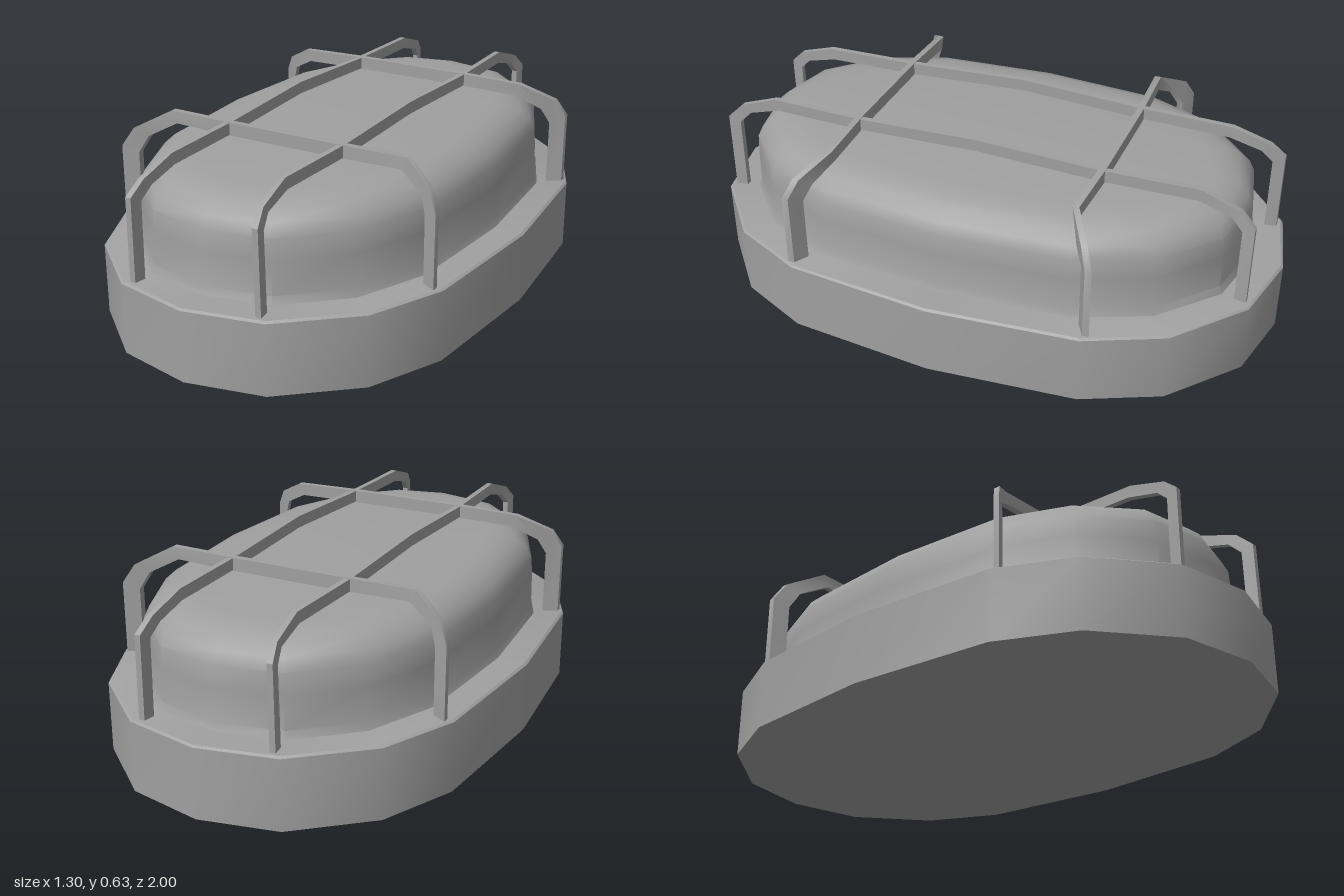
import * as THREE from 'three';
import { toCreasedNormals } from 'three/addons/utils/BufferGeometryUtils.js';

// Skin a stack of closed rings of [x, y, z] points and cap both ends.
function loft(rings, crease) {
  const n = rings[0].length;
  const last = rings.length - 1;
  const points = rings.flat();
  const index = [];
  for (let i = 0; i < last; i++) {
    for (let j = 0; j < n; j++) {
      const a = i * n + j, b = i * n + (j + 1) % n;
      index.push(a, b, b + n, a, b + n, a + n);
    }
  }
  const middle = (ring) => [0, 1, 2].map((k) => ring.reduce((s, p) => s + p[k], 0) / n);
  const bottom = points.push(middle(rings[0])) - 1;
  const top = points.push(middle(rings[last])) - 1;
  for (let j = 0; j < n; j++) {
    const k = (j + 1) % n;
    index.push(bottom, k, j, top, last * n + j, last * n + k);
  }
  const geometry = new THREE.BufferGeometry();
  geometry.setAttribute('position', new THREE.Float32BufferAttribute(points.flat(), 3));
  geometry.setIndex(index);
  return toCreasedNormals(geometry, crease);
}

// Sixteen-sided oval from one quarter, running front, left, back, right.
function oval(quarter, inset, y) {
  const sx = 1 - inset / quarter[4][0];
  const sz = 1 - inset / quarter[0][1];
  const half = [...quarter, ...quarter.slice(0, 4).reverse().map(([x, z]) => [x, -z])];
  const full = [...half, ...half.slice(1, -1).reverse().map(([x, z]) => [-x, z])];
  return full.map(([x, z]) => [x * sx, y, z * sz]);
}

// Guard bar running along z. Each row: outer edge then inner edge as
// [along, height, sideways], from the foot to the middle; the rest is mirrored.
function guardBar(rows, side, halfWidth) {
  const mirrored = rows.slice(0, -1).reverse()
    .map((row) => row.map(([a, y, s]) => [-a, y, s]));
  const rings = [...rows, ...mirrored].map(([o, i]) => [
    [o[2] * side - halfWidth, o[1], o[0]],
    [o[2] * side + halfWidth, o[1], o[0]],
    [i[2] * side + halfWidth, i[1], i[0]],
    [i[2] * side - halfWidth, i[1], i[0]],
  ]);
  return loft(rings, 0.6);
}

const BASE = [[0, 1], [0.26, 0.945], [0.49, 0.75], [0.605, 0.5], [0.65, 0]];
const DOME = [[0, 0.895], [0.22, 0.85], [0.41, 0.68], [0.515, 0.44], [0.55, 0]];

const LONG_BAR = [
  [[0.93, 0.23, 0.228], [0.89, 0.23, 0.222]],
  [[0.93, 0.52, 0.225], [0.89, 0.5, 0.218]],
  [[0.88, 0.567, 0.212], [0.85, 0.54, 0.208]],
  [[0.75, 0.61, 0.203], [0.74, 0.57, 0.203]],
  [[0.42, 0.61, 0.212], [0.42, 0.57, 0.212]],
  [[0, 0.628, 0.217], [0, 0.587, 0.217]],
];
const CROSS_BAR = [
  [[0.583, 0.23, 0.512], [0.535, 0.23, 0.485]],
  [[0.583, 0.49, 0.512], [0.535, 0.465, 0.485]],
  [[0.55, 0.55, 0.487], [0.51, 0.52, 0.46]],
  [[0.44, 0.61, 0.42], [0.42, 0.568, 0.42]],
  [[0.2, 0.612, 0.43], [0.2, 0.568, 0.43]],
  [[0, 0.612, 0.43], [0, 0.568, 0.43]],
];

export function createModel() {
  const model = new THREE.Group();
  model.name = 'bulkheadLamp';
  const grey = new THREE.MeshStandardMaterial({ color: 0xa0a0a0 });
  grey.name = 'grey';

  const add = (name, geometry) => {
    const mesh = new THREE.Mesh(geometry, grey);
    mesh.name = name;
    model.add(mesh);
    return mesh;
  };

  // Base housing with a slightly bevelled rim
  add('base', loft([
    oval(BASE, 0, 0), oval(BASE, 0, 0.237), oval(BASE, 0.008, 0.243),
  ], 0.62));

  // Rounded cover with a small flare at its foot
  const profile = [
    [0, 0.24], [0.012, 0.268], [0.014, 0.38], [0.018, 0.45],
    [0.036, 0.488], [0.07, 0.519], [0.12, 0.538], [0.18, 0.546],
  ];
  add('cover', loft(profile.map(([inset, y]) => oval(DOME, inset, y)), 0.62));

  // Guard cage: two long bars and two cross bars
  for (const side of [1, -1]) {
    add('longGuardBar', guardBar(LONG_BAR, side, 0.01));
    add('crossGuardBar', guardBar(CROSS_BAR, side, 0.011)).rotation.y = Math.PI / 2;
  }
  return model;
}
